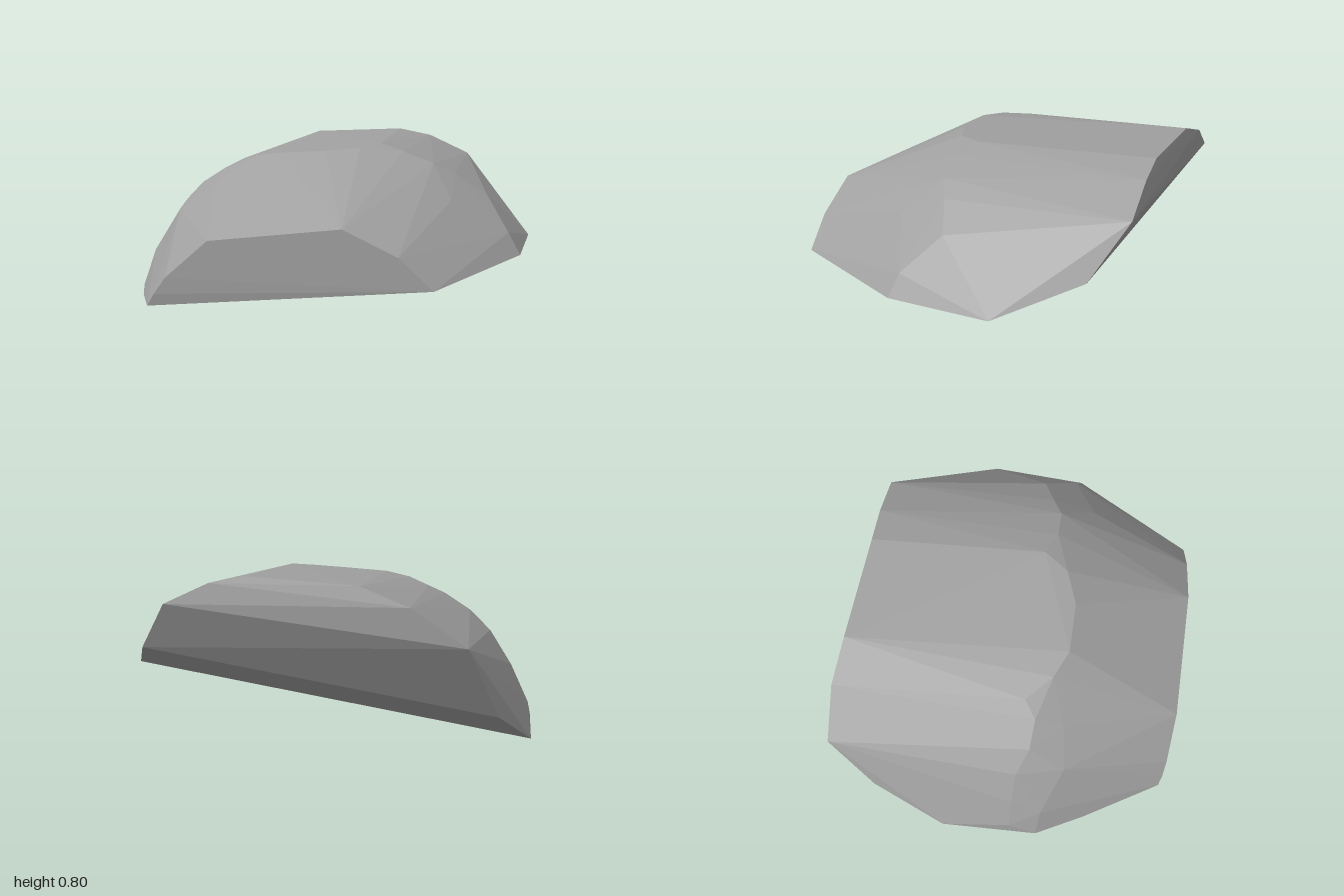
import * as THREE from 'three';
import { ConvexGeometry } from 'three/addons/geometries/ConvexGeometry.js';

// Corner points of a faceted boulder, grouped by section (x, y, z)
const rim = [ // tilted underside and its rising back
  [-0.65, 0.07, 0.82], [-0.86, 0.015, 0.45], [-0.98, 0, 0.21], [-1, 0.01, -0.28],
  [-0.87, 0.2, -0.64], [-0.75, 0.53, -0.84],
  [0.66, 0.225, 0.83], [0.98, 0.27, 0.21], [1, 0.28, -0.28],
  [0.8, 0.43, -0.64], [0.62, 0.66, -0.775],
];
const backArch = [
  [-0.51, 0.69, -0.84], [-0.29, 0.77, -0.81], [0.22, 0.795, -0.775], [0.4, 0.76, -0.775],
];
const crownRing = [ // where the long top facets turn down to the front
  [-0.97, 0.1, 0.07], [-0.88, 0.29, 0.07], [-0.77, 0.46, 0.08], [-0.66, 0.555, 0.13], [-0.53, 0.635, 0.14],
  [-0.45, 0.68, 0.08], [-0.33, 0.71, 0.2], [-0.2, 0.73, 0.26], [0.04, 0.745, 0.26],
  [0.2, 0.76, 0.2], [0.28, 0.775, 0.08], [0.4, 0.74, 0.13], [0.55, 0.685, 0.13],
  [0.65, 0.63, 0.08], [0.8, 0.53, 0.02],
];
const shoulderRing = [
  [-0.9, 0.2, 0.22], [-0.71, 0.44, 0.31], [-0.53, 0.575, 0.28],
  [0.5, 0.62, 0.31], [0.66, 0.53, 0.3], [0.92, 0.37, 0.18],
];
const frontFace = [
  [-0.61, 0.13, 0.83], [-0.55, 0.21, 0.835], [-0.34, 0.39, 0.84],
  [0.27, 0.47, 0.84], [0.51, 0.36, 0.835],
];

export function createModel() {
  const group = new THREE.Group();
  group.name = 'boulder';

  const stone = new THREE.MeshStandardMaterial({ color: 0xa0a0a0 });
  stone.name = 'stone grey';

  // Hull with one flat normal per facet
  const points = [...rim, ...backArch, ...crownRing, ...shoulderRing, ...frontFace]
    .map((p) => new THREE.Vector3(...p));
  const rock = new THREE.Mesh(new ConvexGeometry(points), stone);
  rock.name = 'rock';
  group.add(rock);
  return group;
}
